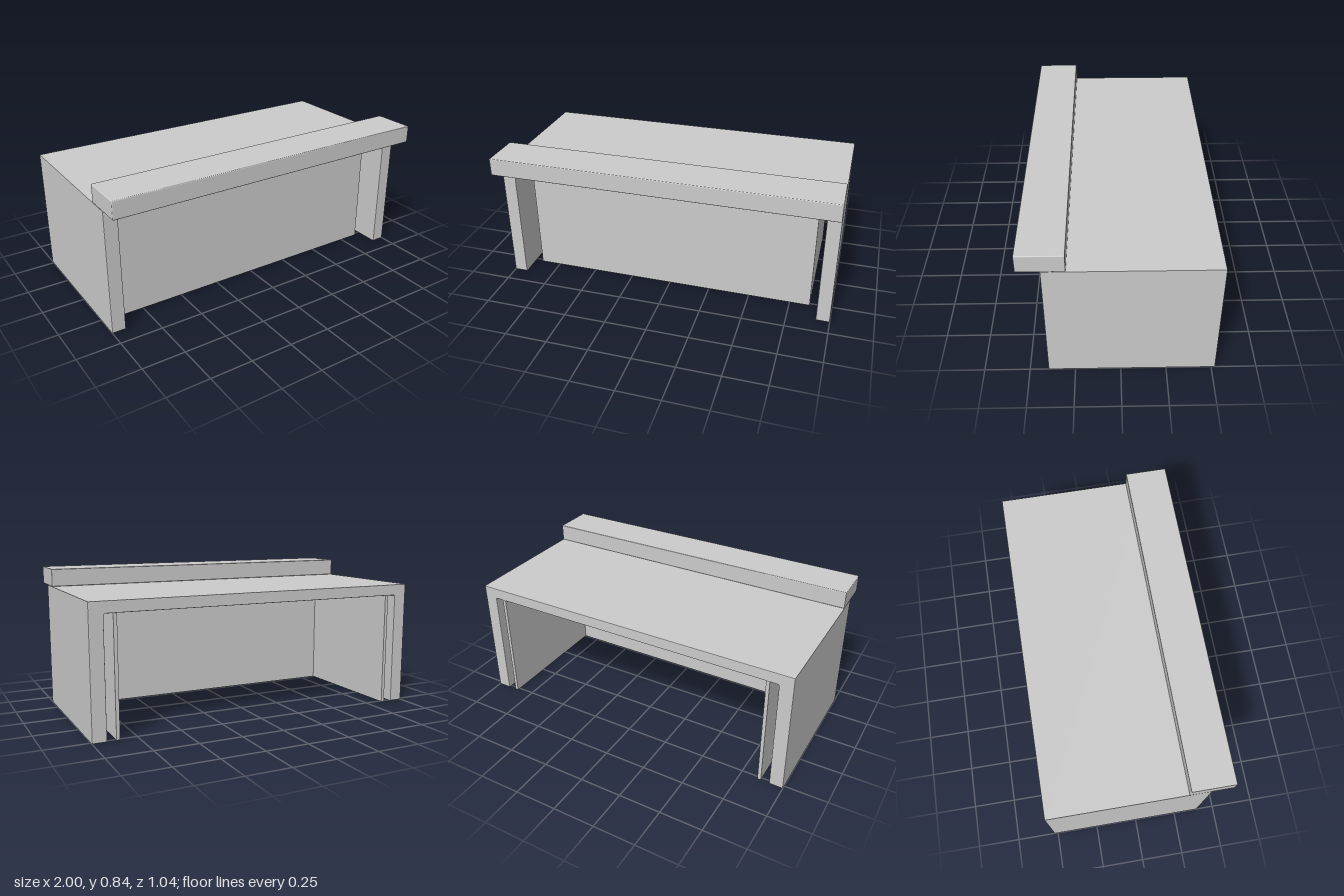
import * as THREE from 'three';
import { RoundedBoxGeometry } from 'three/addons/geometries/RoundedBoxGeometry.js';

const material = new THREE.MeshStandardMaterial({ color: 0xcccccc });
const BEVEL = 0.004;

// Upside-down U outline, open at y = 0; corner softens the inner corners
function archShape(outerX, innerX, top, ceiling, corner) {
  const s = new THREE.Shape();
  s.moveTo(-outerX, 0);
  s.lineTo(-innerX, 0);
  s.lineTo(-innerX, ceiling - corner);
  s.quadraticCurveTo(-innerX, ceiling, -innerX + corner, ceiling);
  s.lineTo(innerX - corner, ceiling);
  s.quadraticCurveTo(innerX, ceiling, innerX, ceiling - corner);
  s.lineTo(innerX, 0);
  s.lineTo(outerX, 0);
  s.lineTo(outerX, top);
  s.lineTo(-outerX, top);
  s.closePath();
  return s;
}

// Extrusion with a fine bevel that stays within the outline and depth
function extrude(shape, depth) {
  const geometry = new THREE.ExtrudeGeometry(shape, {
    depth: depth - 2 * BEVEL, curveSegments: 4, bevelEnabled: true,
    bevelThickness: BEVEL, bevelSize: BEVEL, bevelOffset: -BEVEL, bevelSegments: 2,
  });
  return geometry.translate(0, 0, BEVEL);
}

export function createModel() {
  const group = new THREE.Group();
  const add = (name, geometry) => {
    const mesh = new THREE.Mesh(geometry, material);
    mesh.name = name;
    group.add(mesh);
    return mesh;
  };

  // Desk top and the two slab legs in one piece
  const body = add('topAndLegs', extrude(archShape(1, 0.92, 0.735, 0.67, 0.012), 0.92));
  body.position.z = -0.522;

  // Raised ledge overhanging the front edge
  const ledge = add('frontLedge', new RoundedBoxGeometry(2, 0.104, 0.25, 2, 0.005));
  ledge.position.set(0, 0.787, 0.397);

  // Thin modesty panel with returns along both sides, open at the back
  const panel = add('innerPanel', extrude(archShape(0.87, 0.85, 0.79, 0.77, 0.004), 0.672));
  panel.rotation.x = Math.PI / 2;
  panel.position.set(0, 0.672, -0.52);

  return group;
}
